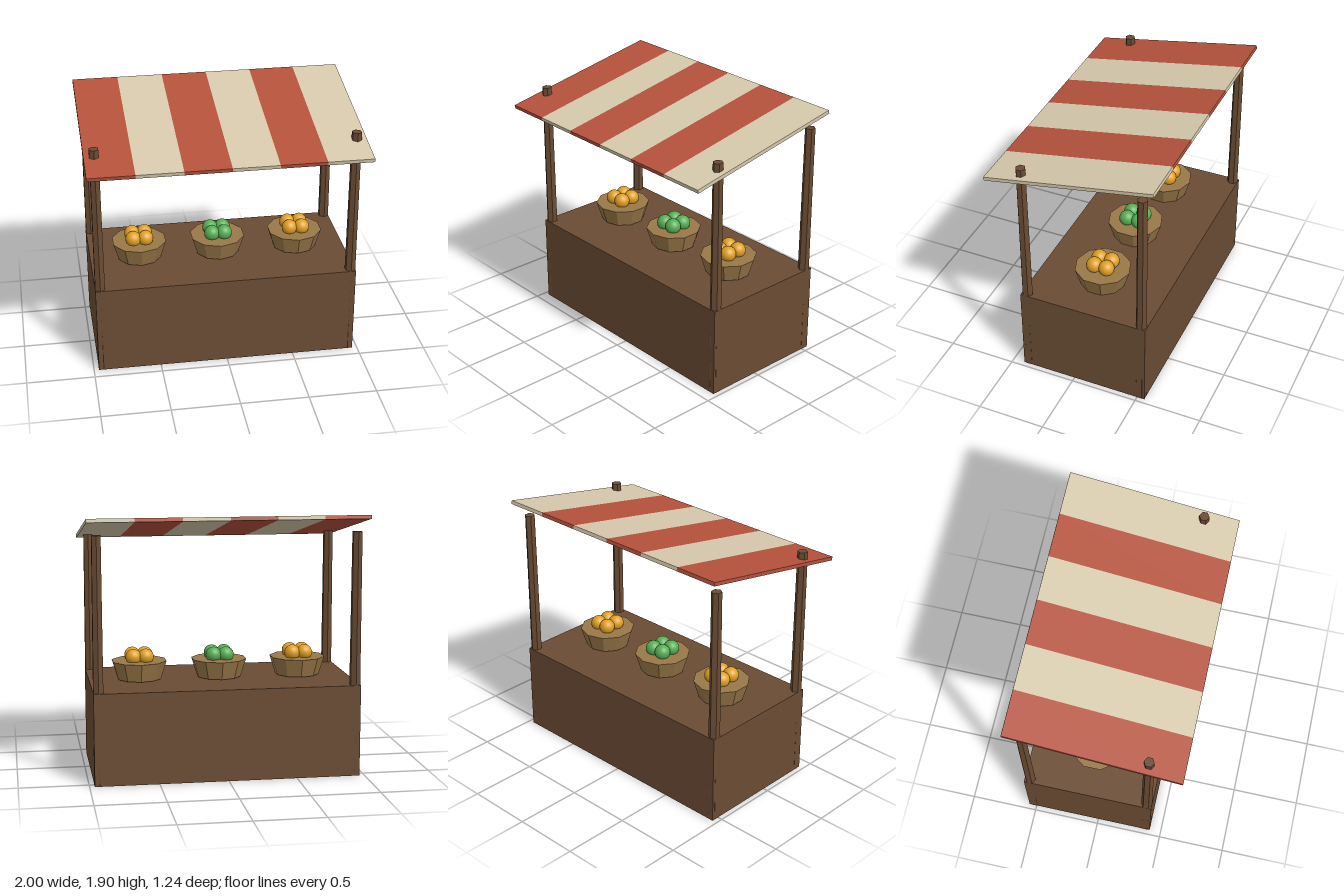
import * as THREE from 'three';

const material = (name, color, flatShading = false) => {
  const m = new THREE.MeshStandardMaterial({ color, flatShading });
  m.name = name;
  return m;
};

export function createModel() {
  const wood = material('wood', 0x6b4c34, true);
  const red = material('awningRed', 0xb5523c, true);
  const cream = material('awningCream', 0xd6c9ac, true);
  const wicker = material('wicker', 0x9a7848, true);
  const orange = material('orangeFruit', 0xe0a024);
  const green = material('greenFruit', 0x57ae55);

  const add = (parent, name, geometry, mat, x, y, z) => {
    const mesh = new THREE.Mesh(geometry, mat);
    mesh.name = name;
    mesh.position.set(x, y, z);
    parent.add(mesh);
    return mesh;
  };

  const stall = new THREE.Group();
  stall.name = 'marketStall';

  // Solid counter
  add(stall, 'counter', new THREE.BoxGeometry(1.926, 0.67, 0.97), wood, 0, 0.335, -0.072);

  // Four tapered hexagonal posts
  const postGeometry = new THREE.CylinderGeometry(0.037, 0.0432, 1.78, 6);
  for (const x of [-0.927, 0.927]) {
    add(stall, 'frontPost', postGeometry, wood, x, 0.89, 0.372);
    add(stall, 'backPost', postGeometry, wood, x, 0.89, -0.515);
  }

  // Sloping awning made of six stripes
  const awning = new THREE.Group();
  awning.name = 'awning';
  awning.position.y = 1.778;
  awning.rotation.x = 0.18;
  stall.add(awning);
  const stripeGeometry = new THREE.BoxGeometry(1 / 3, 0.027, 1.26);
  for (let i = 0; i < 6; i++) {
    add(awning, 'awningStripe', stripeGeometry, i % 2 ? cream : red, (i - 2.5) / 3, 0, 0);
  }

  // Three baskets, each with four fruits
  const basketGeometry = new THREE.CylinderGeometry(0.206, 0.164, 0.134, 10);
  const fruitGeometry = new THREE.SphereGeometry(0.058, 20, 14);
  [orange, green, orange].forEach((fruitMaterial, i) => {
    const basket = new THREE.Group();
    basket.name = 'fruitBasket';
    basket.position.set((i - 1) * 0.593, 0, -0.072);
    stall.add(basket);
    add(basket, 'basket', basketGeometry, wicker, 0, 0.744, 0);
    for (const x of [-0.046, 0.046]) {
      for (const z of [-0.048, 0.048]) {
        add(basket, 'fruit', fruitGeometry, fruitMaterial, x, 0.845, z);
      }
    }
  });

  return stall;
}
